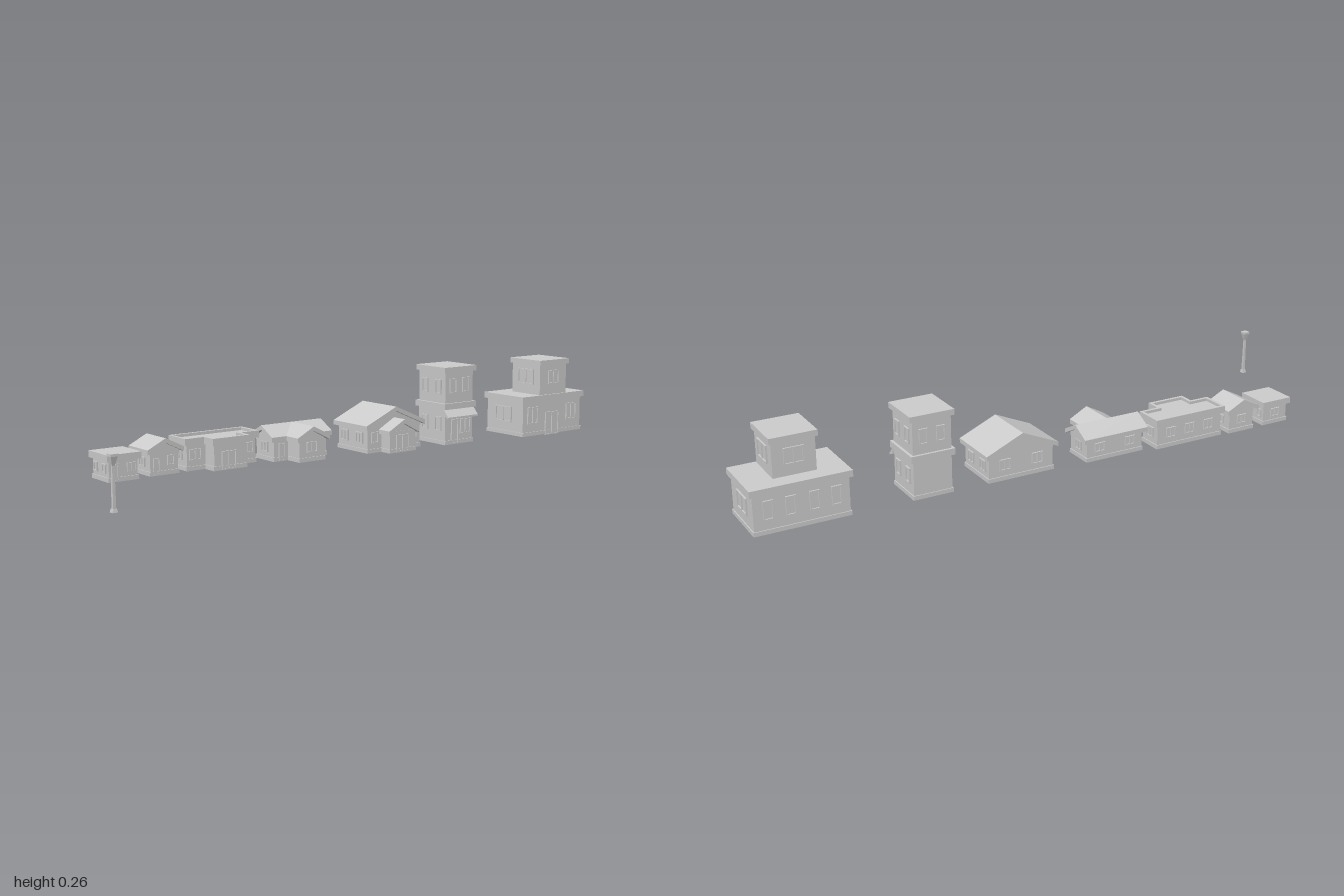
import * as THREE from 'three';

const mat = new THREE.MeshStandardMaterial({ color: 0xcccccc, flatShading: true });

function add(parent, name, geometry) {
  const mesh = new THREE.Mesh(geometry, mat);
  mesh.name = name;
  parent.add(mesh);
  return mesh;
}

function group(parent, name) {
  const g = new THREE.Group();
  g.name = name;
  parent.add(g);
  return g;
}

// Box given by its limits
function box(parent, name, x0, x1, y0, y1, z0, z1) {
  return add(parent, name, new THREE.BoxGeometry(x1 - x0, y1 - y0, z1 - z0)
    .translate((x0 + x1) / 2, (y0 + y1) / 2, (z0 + z1) / 2));
}

function shapeOf(points) {
  return new THREE.Shape(points.map(([x, y]) => new THREE.Vector2(x, y)));
}

function extrude(shape, depth) {
  return new THREE.ExtrudeGeometry(shape, { depth, bevelEnabled: false });
}

const TURN = { front: 0, right: Math.PI / 2, back: Math.PI, left: -Math.PI / 2 };

// Raised frame with n panes on a wall; u runs along x or z, plane is the wall position
function opening(parent, name, face, plane, u, y, w, h, n = 1) {
  const g = group(parent, name);
  const t = 0.004;
  const frame = shapeOf([[-w / 2, 0], [w / 2, 0], [w / 2, h], [-w / 2, h]]);
  const pane = (w - t * (n + 1)) / n;
  for (let i = 0; i < n; i++) {
    const a = -w / 2 + t + i * (pane + t);
    frame.holes.push(shapeOf([[a, t], [a, h - t], [a + pane, h - t], [a + pane, t]]));
  }
  add(g, 'frame', extrude(frame, 0.005));
  box(g, 'pane', -w / 2 + 0.001, w / 2 - 0.001, 0.001, h - 0.001, -0.002, 0.001);
  g.rotation.y = TURN[face];
  if (face === 'front' || face === 'back') g.position.set(u, y, plane);
  else g.position.set(plane, y, u);
}

// Walls with a slightly wider plinth
function walls(parent, x0, x1, y0, y1, z0, z1) {
  box(parent, 'walls', x0, x1, y0, y1, z0, z1);
  const p = 0.003;
  box(parent, 'plinth', x0 - p, x1 + p, y0, y0 + 0.013, z0 - p, z1 + p);
}

// Gable roof with its ridge along z (or x), filled below to close the wall ends
function gable(parent, x0, x1, z0, z1, eave, peak, alongX = false) {
  const g = group(parent, 'gableRoof');
  const half = (alongX ? z1 - z0 : x1 - x0) / 2;
  const len = alongX ? x1 - x0 : z1 - z0;
  const t = 0.014, inset = 0.012;
  const slab = shapeOf([[-half, eave], [0, peak - t], [half, eave], [half, eave + t], [0, peak], [-half, eave + t]]);
  add(g, 'roofSlab', extrude(slab, len).translate(0, 0, -len / 2));
  const w = half - inset;
  const rise = (peak - t - eave) * (inset / half);
  const fill = shapeOf([[-w, eave - 0.005], [w, eave - 0.005], [w, eave + rise], [0, peak - t], [-w, eave + rise]]);
  add(g, 'gableWall', extrude(fill, len - 2 * inset).translate(0, 0, -len / 2 + inset));
  if (alongX) g.rotation.y = Math.PI / 2;
  g.position.set((x0 + x1) / 2, 0, (z0 + z1) / 2);
}

// Flat slab roof over walls
function flatBlock(parent, x0, x1, z0, z1, base, top, slab, inset) {
  walls(parent, x0 + inset, x1 - inset, base, top - slab, z0 + inset, z1 - inset);
  box(parent, 'flatRoof', x0, x1, top - slab, top, z0, z1);
}

function streetLamp(root) {
  const g = group(root, 'streetLamp');
  const parts = [['foot', 0.006, 0.008, 0.011, 0.021], ['post', 0.0035, 0.0045, 0.021, 0.134],
    ['lantern', 0.010, 0.004, 0.134, 0.158], ['lanternCap', 0.0105, 0.0105, 0.158, 0.165]];
  for (const [name, top, bottom, y0, y1] of parts) {
    add(g, name, new THREE.CylinderGeometry(top * Math.SQRT2, bottom * Math.SQRT2, y1 - y0, 4)
      .rotateY(Math.PI / 4).translate(0, (y0 + y1) / 2, 0));
  }
  g.position.set(-0.989, 0, 0.226);
}

function flatCottage(root) {
  const g = group(root, 'flatCottage');
  flatBlock(g, -0.824, -0.713, -0.229, -0.117, 0.011, 0.092, 0.02, 0.009);
  opening(g, 'frontDoor', 'front', -0.126, -0.795, 0.013, 0.022, 0.05);
  opening(g, 'window', 'front', -0.126, -0.742, 0.035, 0.03, 0.028, 2);
  for (const [face, x] of [['right', -0.722], ['left', -0.815]]) {
    for (const z of [-0.2, -0.15]) opening(g, 'window', face, x, z, 0.035, 0.022, 0.028);
  }
  opening(g, 'window', 'back', -0.22, -0.768, 0.035, 0.035, 0.028, 2);
}

function gableCottage(root) {
  const g = group(root, 'gableCottage');
  walls(g, -0.676, -0.582, 0.011, 0.084, -0.222, -0.134);
  gable(g, -0.69, -0.568, -0.234, -0.122, 0.077, 0.121);
  opening(g, 'frontDoor', 'front', -0.134, -0.655, 0.013, 0.022, 0.05);
  opening(g, 'window', 'front', -0.134, -0.607, 0.038, 0.024, 0.03);
  opening(g, 'window', 'back', -0.222, -0.629, 0.038, 0.034, 0.03, 2);
  for (const [face, x] of [['right', -0.582], ['left', -0.676]]) opening(g, 'window', face, x, -0.178, 0.036, 0.034, 0.028, 2);
}

function parapetHouse(root) {
  const g = group(root, 'parapetHouse');
  walls(g, -0.55, -0.306, 0.011, 0.1, -0.216, -0.137);
  walls(g, -0.485, -0.373, 0.011, 0.1, -0.14, -0.088);
  // T-shaped parapet ring around a sunken roof
  const outline = (d) => [[-0.56 + d, 0.224 - d], [-0.56 + d, 0.128 + d], [-0.495 + d, 0.128 + d], [-0.495 + d, 0.079 + d],
    [-0.364 - d, 0.079 + d], [-0.364 - d, 0.128 + d], [-0.297 - d, 0.128 + d], [-0.297 - d, 0.224 - d]];
  const ring = shapeOf(outline(0));
  ring.holes.push(shapeOf(outline(0.01)));
  add(g, 'parapet', extrude(ring, 0.022).rotateX(-Math.PI / 2).translate(0, 0.088, 0));
  add(g, 'flatRoof', extrude(shapeOf(outline(0.008)), 0.012).rotateX(-Math.PI / 2).translate(0, 0.089, 0));
  opening(g, 'frontDoor', 'front', -0.088, -0.434, 0.012, 0.052, 0.056, 2);
  for (const x of [-0.521, -0.335]) opening(g, 'window', 'front', -0.137, x, 0.042, 0.042, 0.034, 2);
  for (const x of [-0.5, -0.428, -0.356]) opening(g, 'window', 'back', -0.216, x, 0.042, 0.036, 0.034, 2);
  for (const [face, x] of [['right', -0.306], ['left', -0.55]]) opening(g, 'window', face, x, -0.178, 0.042, 0.036, 0.034, 2);
}

function crossGableHouse(root) {
  const g = group(root, 'crossGableHouse');
  walls(g, -0.26, -0.06, 0.011, 0.084, -0.196, -0.102);
  walls(g, -0.207, -0.113, 0.011, 0.084, -0.11, -0.041);
  gable(g, -0.275, -0.045, -0.208, -0.09, 0.075, 0.121, true);
  gable(g, -0.221, -0.099, -0.149, -0.029, 0.075, 0.121);
  opening(g, 'window', 'front', -0.041, -0.16, 0.038, 0.04, 0.034, 2);
  opening(g, 'frontDoor', 'front', -0.102, -0.231, 0.012, 0.024, 0.054);
  opening(g, 'window', 'front', -0.102, -0.086, 0.038, 0.026, 0.032);
  for (const x of [-0.215, -0.105]) opening(g, 'window', 'back', -0.196, x, 0.038, 0.036, 0.03, 2);
  for (const [face, x] of [['right', -0.06], ['left', -0.26]]) opening(g, 'window', face, x, -0.149, 0.038, 0.034, 0.032, 2);
}

function wideGableHouse(root) {
  const g = group(root, 'wideGableHouse');
  walls(g, 0.056, 0.274, 0.011, 0.096, -0.185, -0.035);
  walls(g, 0.113, 0.217, 0.011, 0.08, -0.04, 0.008);
  gable(g, 0.043, 0.287, -0.197, -0.023, 0.087, 0.154);
  gable(g, 0.102, 0.228, -0.06, 0.019, 0.07, 0.118);
  opening(g, 'frontDoor', 'front', 0.008, 0.165, 0.012, 0.056, 0.056, 2);
  for (const x of [0.084, 0.246]) opening(g, 'window', 'front', -0.035, x, 0.042, 0.028, 0.036);
  for (const x of [0.11, 0.22]) opening(g, 'window', 'back', -0.185, x, 0.042, 0.038, 0.036, 2);
  for (const [face, x] of [['right', 0.274], ['left', 0.056]]) {
    for (const z of [-0.15, -0.075]) opening(g, 'window', face, x, z, 0.04, 0.036, 0.036, 2);
  }
}

function towerShop(root) {
  const g = group(root, 'towerShop');
  const [x0, x1, z0, z1] = [0.386, 0.509, -0.167, -0.035];
  walls(g, x0, x1, 0.003, 0.25, z0, z1);
  box(g, 'midCornice', x0 - 0.009, x1 + 0.009, 0.122, 0.142, z0 - 0.008, z1 + 0.008);
  box(g, 'flatRoof', x0 - 0.009, x1 + 0.009, 0.245, 0.263, z0 - 0.006, z1 + 0.008);
  // Sloping awning over the shop front
  const awning = shapeOf([[0, 0.122], [0, 0.102], [0.022, 0.092], [0.022, 0.098]]);
  add(g, 'awning', extrude(awning, 0.134).rotateY(-Math.PI / 2).translate(0.514, 0, z1));
  opening(g, 'shopDoor', 'front', z1, 0.428, 0.005, 0.032, 0.082);
  opening(g, 'shopWindow', 'front', z1, 0.475, 0.035, 0.045, 0.05, 2);
  for (const x of [0.42, 0.475]) opening(g, 'upperWindow', 'front', z1, x, 0.175, 0.03, 0.05);
  for (const [face, x] of [['right', x1], ['left', x0]]) {
    for (const z of [-0.134, -0.068]) {
      for (const y of [0.048, 0.172]) opening(g, 'window', face, x, z, y, 0.03, 0.048);
    }
  }
  for (const x of [0.42, 0.475]) opening(g, 'upperWindow', 'back', z0, x, 0.172, 0.028, 0.048);
}

function cornerHall(root) {
  const g = group(root, 'cornerHall');
  flatBlock(g, 0.696, 0.998, -0.174, 0.019, 0.003, 0.142, 0.02, 0.009);
  const up = group(g, 'upperStorey');
  box(up, 'walls', 0.782, 0.911, 0.14, 0.247, -0.121, 0.013);
  box(up, 'flatRoof', 0.775, 0.918, 0.245, 0.263, -0.127, 0.02);
  opening(g, 'frontDoor', 'front', 0.011, 0.845, 0, 0.066, 0.08, 2);
  for (const x of [0.75, 0.94]) opening(g, 'window', 'front', 0.011, x, 0.045, 0.05, 0.058, 2);
  for (const x of [0.745, 0.81, 0.88, 0.945]) opening(g, 'window', 'back', -0.165, x, 0.045, 0.03, 0.058);
  for (const [face, x, ux] of [['right', 0.989, 0.911], ['left', 0.705, 0.782]]) {
    opening(g, 'window', face, x, -0.083, 0.048, 0.078, 0.053, 2);
    opening(up, 'upperWindow', face, ux, -0.053, 0.176, 0.074, 0.053, 2);
  }
  opening(up, 'upperWindow', 'front', 0.013, 0.847, 0.178, 0.052, 0.048, 2);
  opening(up, 'upperWindow', 'back', -0.121, 0.847, 0.176, 0.06, 0.05, 2);
}

export function createModel() {
  const root = new THREE.Group();
  root.name = 'streetRow';
  for (const build of [streetLamp, flatCottage, gableCottage, parapetHouse,
    crossGableHouse, wideGableHouse, towerShop, cornerHall]) build(root);
  return root;
}
